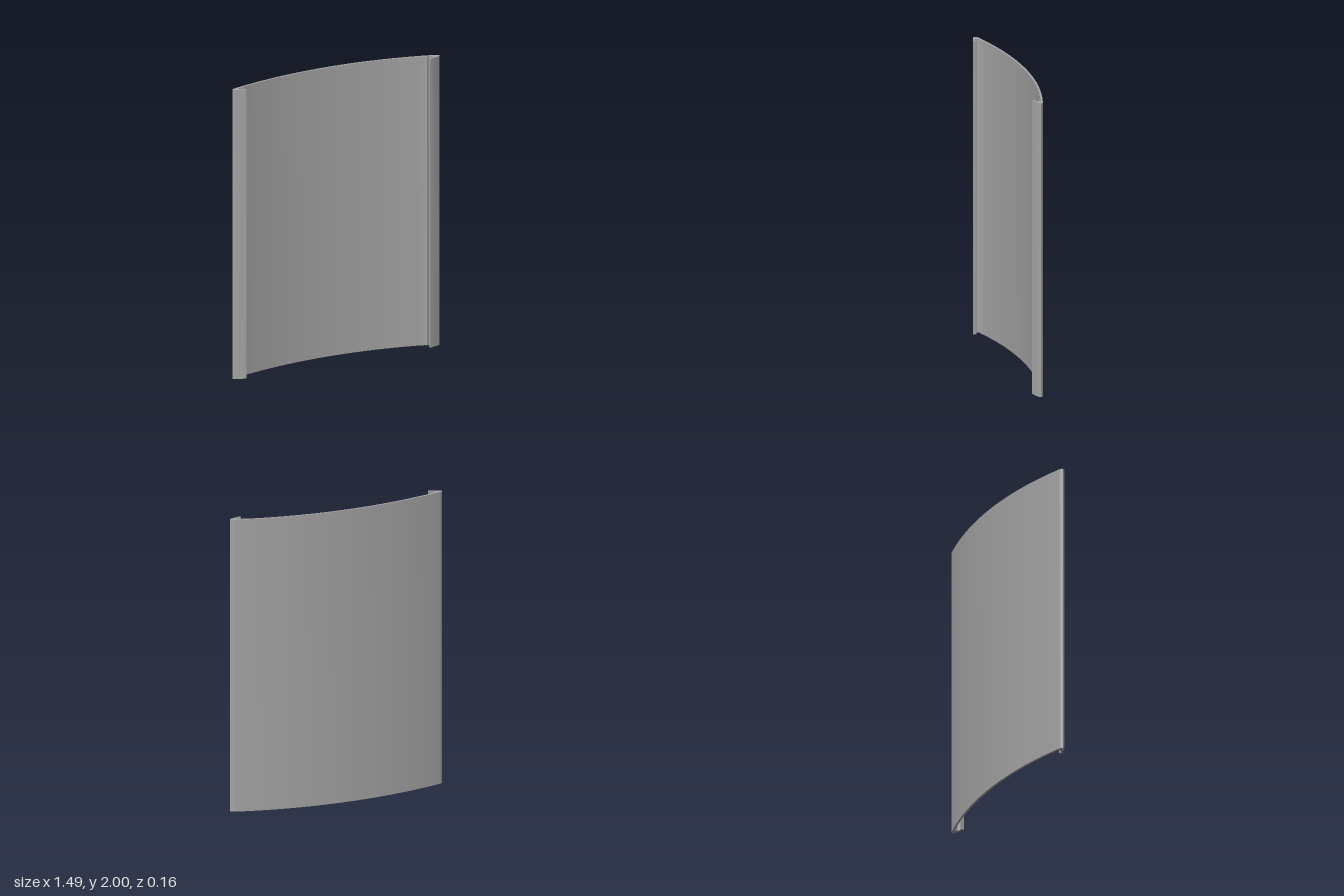
import * as THREE from 'three';
import { toCreasedNormals } from 'three/addons/utils/BufferGeometryUtils.js';

const HEIGHT = 2;
const RADIUS = 2.64; // outer radius of the bowed web
const WALL = 0.014;
const CENTRE_Z = RADIUS - 0.08;

// Point on a bowed face at a given x
const onArc = (x, radius) => [x, CENTRE_Z - Math.sqrt(radius * radius - x * x)];

// Points [x, z] of one half of the cross-section, from back centre to front centre
function halfProfile() {
  const points = [];
  const steps = 16;

  // Outer bowed face
  for (let i = 0; i <= steps; i++) points.push(onArc((0.72 * i) / steps, RADIUS));

  // Rounded edge and sloping foot
  points.push([0.734, 0.025], [0.743, 0.032], [0.747, 0.041], [0.744, 0.049], [0.736, 0.055]);
  points.push([0.663, 0.077], [0.663, 0.055], [0.669, 0.055]);

  // Round screw channel, open towards the middle
  for (let i = 0; i <= 14; i++) {
    const a = THREE.MathUtils.degToRad(125 - (250 * i) / 14);
    points.push([0.68 + 0.019 * Math.cos(a), 0.041 + 0.019 * Math.sin(a)]);
  }

  // Small lip beside the channel
  points.push([0.664, 0.028], [0.66, 0.026], [0.655, 0.019]);

  // Inner bowed face
  for (let i = steps; i >= 0; i--) points.push(onArc((0.634 * i) / steps, RADIUS - WALL));
  return points;
}

export function createModel() {
  const model = new THREE.Group();
  model.name = 'curvedPanel';
  const aluminium = new THREE.MeshStandardMaterial({ color: 0xa4a4a4 });
  aluminium.name = 'satin aluminium';

  // Mirror the half section and close it
  const half = halfProfile();
  const mirrored = half.slice(1, -1).reverse().map(([x, z]) => [-x, z]);
  const shape = new THREE.Shape([...half, ...mirrored].map(([x, z]) => new THREE.Vector2(x, -z)));

  // Extrude upwards
  const extrusion = new THREE.ExtrudeGeometry(shape, { depth: HEIGHT, bevelEnabled: false });
  extrusion.rotateX(-Math.PI / 2);
  const panel = new THREE.Mesh(toCreasedNormals(extrusion, 0.6), aluminium);
  panel.name = 'extrudedPanel';
  model.add(panel);
  return model;
}
